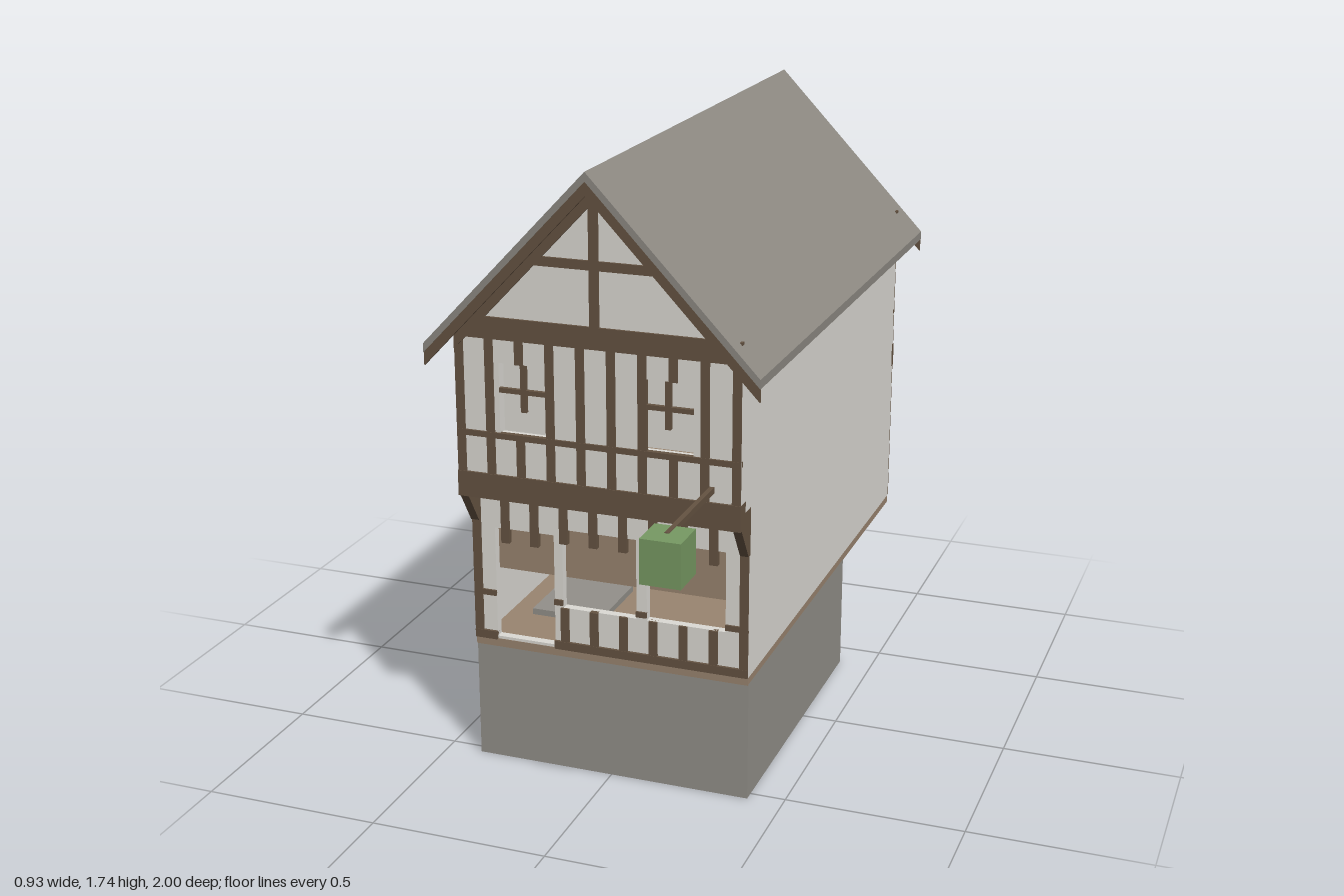
import * as THREE from 'three';

const mat = (name, color) => Object.assign(new THREE.MeshStandardMaterial({ color }), { name });
const plaster = mat('plaster', 0xdddbd5);
const timber = mat('timber', 0x655342);
const boards = mat('boards', 0x9a8570);
const slate = mat('roof slate', 0x8e8a83);
const stone = mat('stone', 0x93908a);
const green = mat('sign green', 0x779a63);

const SLOPE = 0.49 / 0.465;                       // roof pitch
const roofY = (x, drop = 0) => 1.74 - drop - Math.abs(x) * SLOPE;

export function createModel() {
  const model = new THREE.Group();
  model.name = 'timberFramedHouse';
  const add = (name, geometry, material, parent = model) => {
    const mesh = new THREE.Mesh(geometry, material);
    mesh.name = name;
    parent.add(mesh);
    return mesh;
  };
  const box = (name, x0, x1, y0, y1, z0, z1, material, parent) => {
    const mesh = add(name, new THREE.BoxGeometry(x1 - x0, y1 - y0, z1 - z0), material, parent);
    mesh.position.set((x0 + x1) / 2, (y0 + y1) / 2, (z0 + z1) / 2);
    return mesh;
  };
  const toShape = (points) => new THREE.Shape(points.map(([x, y]) => new THREE.Vector2(x, y)));
  const rect = ([x0, x1, y0, y1]) => [[x0, y0], [x1, y0], [x1, y1], [x0, y1]];
  // Flat panel with rectangular openings, from z0 to z1
  const panel = (name, points, openings, z0, z1, material, parent) => {
    const shape = toShape(points);
    openings.forEach((o) => shape.holes.push(toShape(rect(o).reverse())));
    const geometry = new THREE.ExtrudeGeometry(shape, { depth: z1 - z0, bevelEnabled: false });
    geometry.translate(0, 0, z0);
    return add(name, geometry, material, parent);
  };
  // Inverted V that follows the roof pitch, between two vertical drops below the ridge
  const chevron = (name, half, top, bottom, z0, z1, material, parent) => panel(name, [
    [-half, roofY(half, bottom)], [0, roofY(0, bottom)], [half, roofY(half, bottom)],
    [half, roofY(half, top)], [0, roofY(0, top)], [-half, roofY(half, top)],
  ], [], z0, z1, material, parent);
  // Sloping brace between two points of a gable
  const brace = (x0, y0, x1, y1, z0, z1, parent) => {
    const mesh = add('brace', new THREE.BoxGeometry(0.022, Math.hypot(x1 - x0, y1 - y0), z1 - z0), timber, parent);
    mesh.position.set((x0 + x1) / 2, (y0 + y1) / 2, (z0 + z1) / 2);
    mesh.rotation.z = -Math.atan2(x1 - x0, y1 - y0);
  };

  // Stone cellar and floor
  box('stoneBase', -0.4, 0.4, 0, 0.345, -0.4, 0.53, stone);
  box('floor', -0.4, 0.4, 0.343, 0.367, -0.935, 0.535, boards);

  // Side walls, stepping out over the front
  const side = toShape([[-0.94, 0.365], [0.535, 0.365], [0.535, 0.855], [0.61, 0.855], [0.61, 1.28], [-0.94, 1.28]]);
  for (const s of [-1, 1]) {
    const geometry = new THREE.ExtrudeGeometry(side, { depth: 0.02, bevelEnabled: false });
    geometry.rotateY(-Math.PI / 2);
    geometry.translate(s > 0 ? 0.4 : -0.38, 0, 0);
    add(s > 0 ? 'leftWall' : 'rightWall', geometry, plaster);
  }

  // Openings as [x0, x1, y0, y1]
  const frontDoor = [-0.335, -0.16, 0.375, 0.7];
  const shopWindows = [[-0.135, 0.08, 0.49, 0.72], [0.11, 0.335, 0.49, 0.72]];
  const frontWindows = [[-0.275, -0.135, 1.005, 1.2], [0.13, 0.27, 1.005, 1.2]];
  const backDoor = [0.01, 0.17, 0.375, 0.72];
  const backWindow = [-0.22, -0.08, 1.005, 1.2];
  const gableTop = [[0.4, roofY(0.4, 0.02)], [0, roofY(0, 0.02)], [-0.4, roofY(0.4, 0.02)]];

  // Plaster walls of the two ends
  panel('frontLowerWall', rect([-0.39, 0.39, 0.366, 0.86]), [frontDoor, ...shopWindows], 0.51, 0.534, plaster);
  panel('frontUpperWall', [[-0.399, 0.82], [0.399, 0.82], ...gableTop], frontWindows, 0.585, 0.609, plaster);
  panel('backWall', [[-0.399, 0.366], [0.399, 0.366], ...gableTop], [backDoor, backWindow], -0.939, -0.915, plaster);
  box('jettySoffit', -0.399, 0.399, 0.83, 0.855, 0.51, 0.605, boards);

  // Post positions, shared by both ends
  const postX = Array.from({ length: 10 }, (_, i) => -0.388 + i * 0.0862);
  // One storey of posts, cut where an opening interrupts them
  const posts = (y0, y1, openings, z0, z1, parent, overhang = 0) => postX.forEach((x) => {
    const hole = openings.find((o) => x > o[0] && x < o[1]);
    if (!hole) return box('post', x - 0.012, x + 0.012, y0, y1, z0, z1, timber, parent);
    if (hole[2] - y0 > 0.03) box('post', x - 0.012, x + 0.012, y0, hole[2], z0, z1, timber, parent);
    box('post', x - 0.012, x + 0.012, hole[3] - overhang, y1, z0, z1, timber, parent);
  });
  // Horizontal rail made of several lengths
  const rail = (spans, y0, y1, z0, z1, parent) =>
    spans.forEach(([a, b]) => box('rail', a, b, y0, y1, z0, z1, timber, parent));
  // Closed pane and crossed bars of an upper window
  const windowFill = ([x0, x1, y0, y1], z, out, parent) => {
    const mid = (x0 + x1) / 2;
    box('windowPane', x0, x1, y0, y1, z - out * 0.03 - 0.004, z - out * 0.03 + 0.004, plaster, parent);
    box('windowBar', mid - 0.008, mid + 0.008, y0 + 0.065, y1, z - 0.006, z + 0.006, timber, parent);
    box('windowCrossbar', x0, x1, 1.119, 1.132, z - 0.006, z + 0.006, timber, parent);
  };
  // Tie beam, collar, king post and rafters of a gable
  const gableFrame = (z0, z1, parent) => {
    box('tieBeam', -0.401, 0.401, 1.265, 1.325, z0, z1, timber, parent);
    box('collar', -0.21, 0.21, 1.475, 1.5, z0, z1, timber, parent);
    box('kingPost', -0.013, 0.013, 1.325, 1.69, z0, z1, timber, parent);
    chevron('rafters', 0.4, 0.025, 0.09, z0, z1, timber, parent);
  };

  // Front frame
  const front = new THREE.Group();
  front.name = 'frontFrame';
  model.add(front);
  posts(0.39, 0.83, [frontDoor, ...shopWindows], 0.525, 0.541, front, 0.04);
  rail([[-0.4, -0.335], [-0.16, 0.4]], 0.366, 0.39, 0.525, 0.542, front);
  rail([[-0.4, -0.335], [-0.16, -0.135], [0.08, 0.11], [0.335, 0.4]], 0.497, 0.513, 0.525, 0.54, front);
  box('jettyBeam', -0.401, 0.401, 0.815, 0.887, 0.575, 0.616, timber, front);
  posts(0.885, 1.267, frontWindows, 0.6, 0.614, front);
  rail([[-0.4, 0.4]], 0.99, 1.006, 0.6, 0.615, front);
  gableFrame(0.6, 0.616, front);
  frontWindows.forEach((w) => windowFill(w, 0.605, 1, front));

  // Brackets under the overhang
  const bracket = new THREE.ExtrudeGeometry(toShape([[0.53, 0.72], [0.545, 0.72], [0.61, 0.82], [0.61, 0.855], [0.53, 0.855]]),
    { depth: 0.024, bevelEnabled: false });
  bracket.rotateY(-Math.PI / 2);
  for (const x of [-0.377, 0.401]) add('bracket', bracket, timber, front).position.x = x;

  // Back frame with corner braces
  const back = new THREE.Group();
  back.name = 'backFrame';
  model.add(back);
  posts(0.39, 0.83, [backDoor], -0.946, -0.93, back);
  posts(0.885, 1.267, [backWindow], -0.946, -0.93, back);
  rail([[-0.4, 0.01], [0.17, 0.4]], 0.366, 0.39, -0.947, -0.93, back);
  rail([[-0.4, 0.01], [0.17, 0.4]], 0.497, 0.513, -0.945, -0.93, back);
  rail([[-0.401, 0.401]], 0.815, 0.887, -0.948, -0.93, back);
  rail([[-0.4, 0.4]], 0.99, 1.006, -0.945, -0.93, back);
  gableFrame(-0.948, -0.93, back);
  windowFill(backWindow, -0.935, -1, back);
  for (const s of [-1, 1]) {
    brace(s * 0.38, 0.39, s * 0.235, 0.82, -0.949, -0.932, back);
    brace(s * 0.38, 0.885, s * 0.235, 1.27, -0.949, -0.932, back);
  }

  // Interior seen through the openings
  box('interiorCeiling', -0.378, 0.378, 0.535, 0.81, -0.84, 0.43, boards);
  box('bench', 0.11, 0.215, 0.367, 0.515, -0.6, -0.3, boards);
  box('benchTop', 0.108, 0.217, 0.515, 0.534, -0.6, -0.28, boards);
  box('hearth', -0.31, -0.1, 0.367, 0.385, 0.1, 0.35, stone);

  // Roof and barge boards
  chevron('roof', 0.465, 0, 0.025, -1, 0.665, slate);
  chevron('frontBargeBoard', 0.464, 0.024, 0.062, 0.655, 0.664, timber);
  chevron('backBargeBoard', 0.464, 0.024, 0.062, -0.999, -0.99, timber);

  // Hanging sign on its arm
  box('signArm', 0.314, 0.327, 0.912, 0.929, 0.6, 0.945, timber);
  box('sign', 0.269, 0.377, 0.807, 0.927, 0.892, 1, green);

  return model;
}
